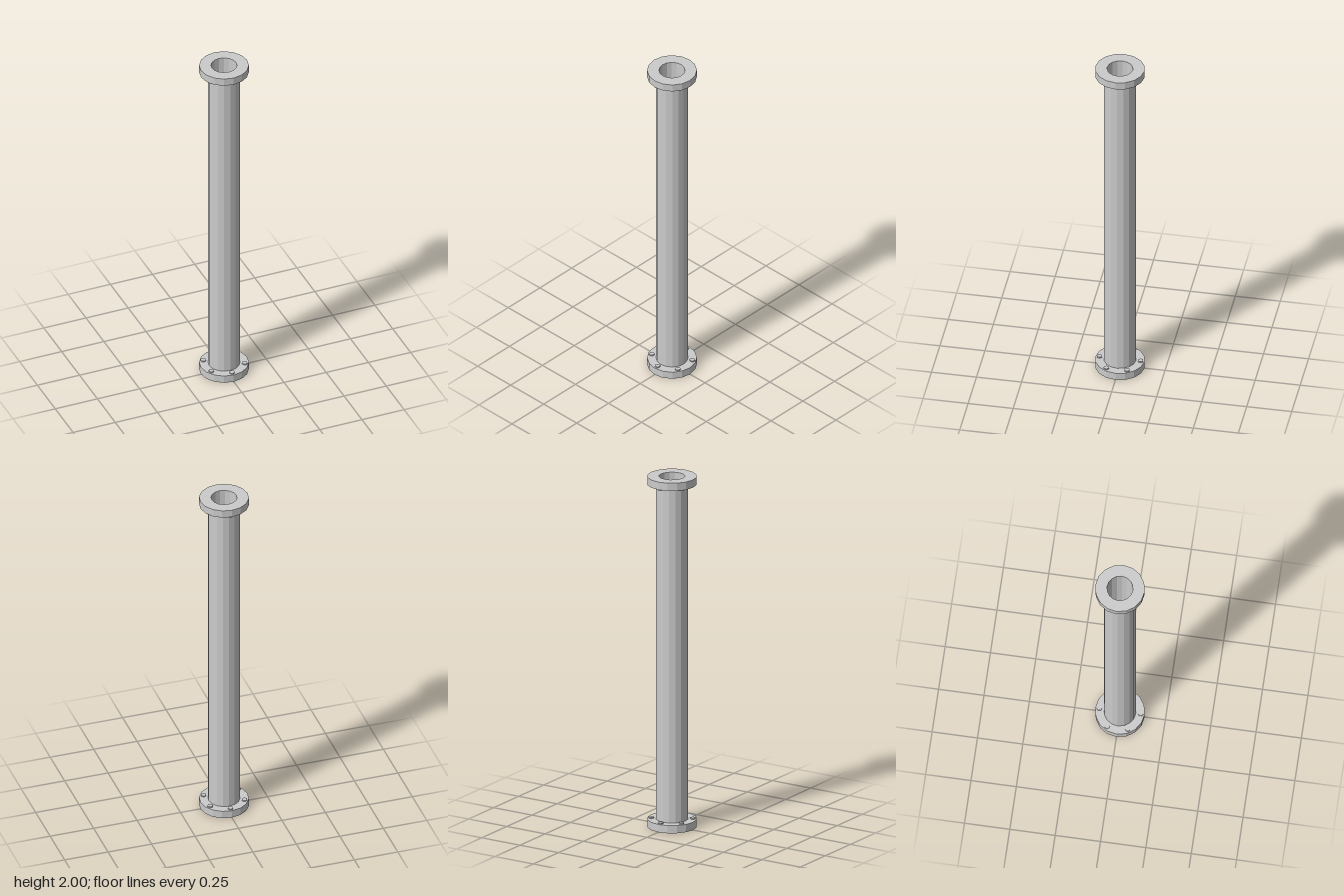
import * as THREE from 'three';

const SIDES = 16, HEIGHT = 2;
const BORE = 0.071, PIPE = 0.088, FLANGE = 0.136, THICK = 0.044;
const BOLTS = 6, BOLT_CIRCLE = 0.114, BOLT_RADIUS = 0.015, BOLT_HEIGHT = 0.007;

const material = new THREE.MeshStandardMaterial({ color: 0xcccccc, flatShading: true });

// Faceted ring with a closed rectangular section
function ring(name, inner, outer, bottom, top) {
  const profile = [[inner, bottom], [outer, bottom], [outer, top], [inner, top], [inner, bottom]]
    .map(([r, y]) => new THREE.Vector2(r, y));
  const mesh = new THREE.Mesh(new THREE.LatheGeometry(profile, SIDES), material);
  mesh.name = name;
  return mesh;
}

// Flange with bolt heads on the side facing the pipe
function flange(name) {
  const group = new THREE.Group();
  group.name = name;
  group.add(ring('flangeRing', BORE, FLANGE, 0, THICK));
  const head = new THREE.CylinderGeometry(BOLT_RADIUS, BOLT_RADIUS, BOLT_HEIGHT, 8);
  for (let i = 0; i < BOLTS; i++) {
    const angle = (i / BOLTS) * Math.PI * 2;
    const bolt = new THREE.Mesh(head, material);
    bolt.name = 'boltHead';
    bolt.position.set(Math.sin(angle) * BOLT_CIRCLE, THICK + BOLT_HEIGHT / 2, Math.cos(angle) * BOLT_CIRCLE);
    bolt.rotation.y = angle;
    group.add(bolt);
  }
  return group;
}

export function createModel() {
  const model = new THREE.Group();
  model.name = 'flangedPipe';

  // Hollow pipe between the flanges
  model.add(ring('pipe', BORE, PIPE, THICK, HEIGHT - THICK));

  // Matching flanges at both ends
  const top = flange('topFlange');
  top.rotation.x = Math.PI;
  top.position.y = HEIGHT;
  model.add(flange('bottomFlange'), top);

  return model;
}
